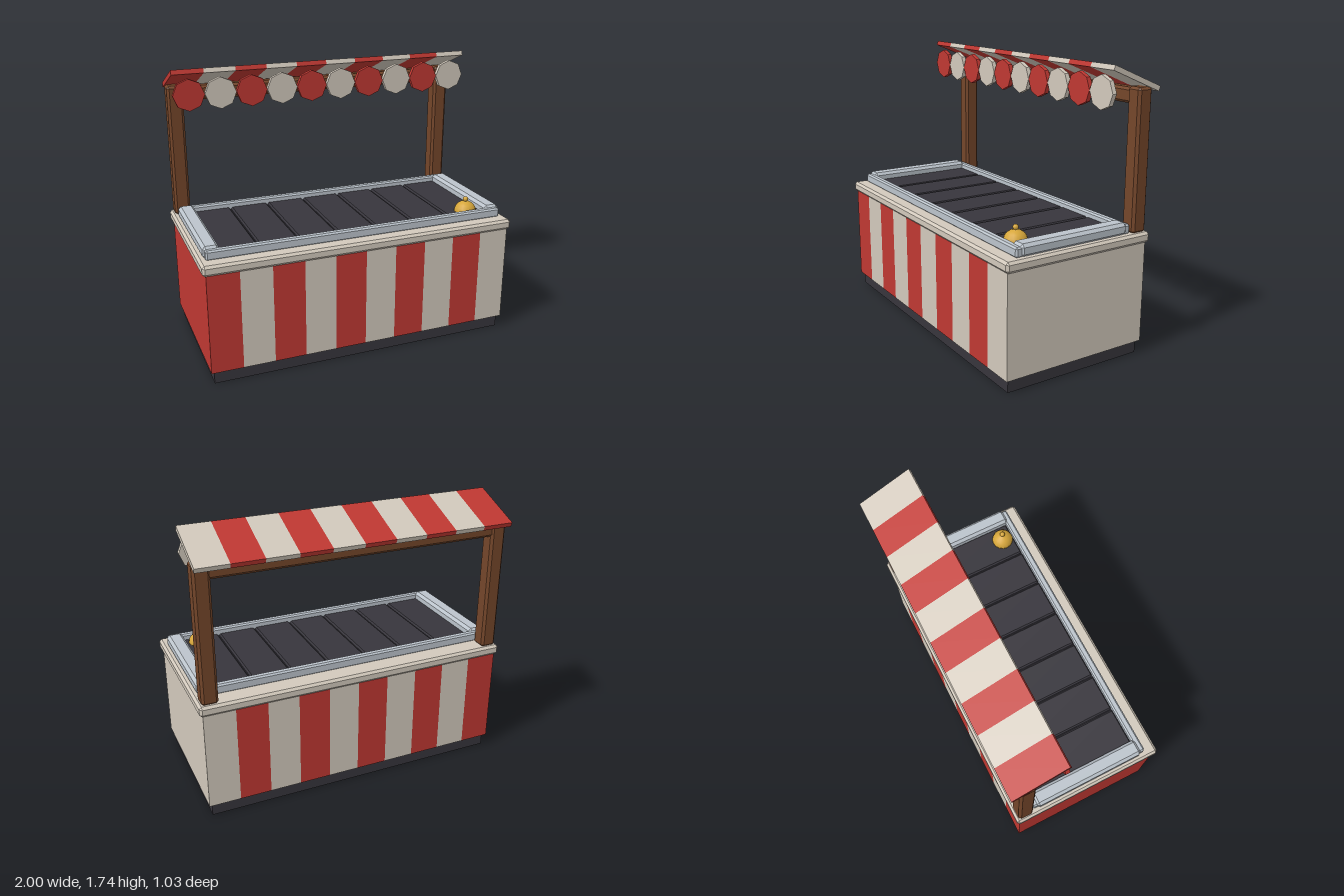
import * as THREE from 'three';
import { ConvexGeometry } from 'three/addons/geometries/ConvexGeometry.js';

const material = (name, color) => {
  const m = new THREE.MeshStandardMaterial({ color });
  m.name = name;
  return m;
};

// Box given by its min/max on each axis, with all edges chamfered by c
function chamferBox([x0, x1], [y0, y1], [z0, z1], c) {
  const half = [(x1 - x0) / 2, (y1 - y0) / 2, (z1 - z0) / 2];
  const points = [];
  for (const sx of [-1, 1]) for (const sy of [-1, 1]) for (const sz of [-1, 1]) {
    const s = [sx, sy, sz];
    for (let face = 0; face < 3; face++) {
      points.push(new THREE.Vector3(...half.map((h, i) => s[i] * (i === face ? h : h - c))));
    }
  }
  return new ConvexGeometry(points).translate((x0 + x1) / 2, (y0 + y1) / 2, (z0 + z1) / 2);
}

function plainBox([x0, x1], [y0, y1], [z0, z1]) {
  return new THREE.BoxGeometry(x1 - x0, y1 - y0, z1 - z0)
    .translate((x0 + x1) / 2, (y0 + y1) / 2, (z0 + z1) / 2);
}

export function createModel() {
  const group = new THREE.Group();
  group.name = 'marketStall';

  const red = material('red', 0xbf3832);
  const cream = material('cream', 0xd2c9bc);
  const dark = material('charcoal', 0x37353c);
  const wood = material('wood', 0x74462a);
  const steel = material('steel', 0xbcc4cc);
  const gold = material('gold', 0xd6a63a);

  const add = (name, geometry, mat, parent = group) => {
    const mesh = new THREE.Mesh(geometry, mat);
    mesh.name = name;
    parent.add(mesh);
    return mesh;
  };

  // Plinth and counter top
  add('plinth', plainBox([-0.96, 0.96], [0, 0.075], [-0.44, 0.48]), dark);
  add('counterTop', chamferBox([-1, 1], [0.705, 0.77], [-0.48, 0.515], 0.015), cream);

  // Striped body, sloping awning and round bunting share one stripe rhythm
  const stripes = 10, width = 0.196;
  const awning = new THREE.Group();
  awning.name = 'awning';
  awning.position.set(0, 1.6625, -0.343);
  awning.rotation.x = -0.385;
  group.add(awning);
  for (let i = 0; i < stripes; i++) {
    const mat = i % 2 ? cream : red;
    const x = (i - (stripes - 1) / 2) * width;
    const span = [x - width / 2, x + width / 2];
    add('bodyStripe', plainBox(span, [0.08, 0.72], [-0.46, 0.5]), mat);
    add('awningStripe', plainBox(span, [-0.015, 0.015], [-0.181, 0.181]), mat, awning);
    const disc = new THREE.CylinderGeometry(0.098, 0.098, 0.028, 8).toNonIndexed();
    disc.computeVertexNormals();
    add('buntingDisc', disc.rotateX(Math.PI / 2).translate(x, 1.588, -0.183), mat);
  }

  // Posts and cross beam
  for (const side of [-1, 1]) {
    const xs = [side * 0.93 - 0.05, side * 0.93 + 0.05];
    add('post', chamferBox(xs, [0.765, 1.61], [-0.462, -0.362], 0.015), wood);
  }
  add('crossBeam', chamferBox([-0.93, 0.93], [1.51, 1.6], [-0.452, -0.372], 0.015), wood);

  // Steel rim around the tray
  for (const side of [-1, 1]) {
    const xs = [side * 0.92 - 0.05, side * 0.92 + 0.05];
    add('sideRail', chamferBox(xs, [0.765, 0.84], [-0.33, 0.405], 0.018), steel);
  }
  add('frontRail', chamferBox([-0.96, 0.96], [0.765, 0.826], [0.385, 0.432], 0.01), steel);
  add('backRail', chamferBox([-0.96, 0.96], [0.765, 0.826], [-0.358, -0.311], 0.01), steel);

  // Dark slatted tray
  add('trayFloor', plainBox([-0.89, 0.89], [0.76, 0.778], [-0.32, 0.39]), dark);
  const slats = 7, pitch = 1.76 / slats;
  for (let i = 0; i < slats; i++) {
    const x = -0.88 + i * pitch;
    add('traySlat', chamferBox([x + 0.003, x + pitch - 0.003], [0.765, 0.792], [-0.318, 0.388], 0.01), dark);
  }

  // Service bell
  const bell = new THREE.Group();
  bell.name = 'bell';
  bell.position.set(0.776, 0.79, 0.312);
  group.add(bell);
  const profile = [[0, 0], [0.07, 0], [0.07, 0.012], [0.064, 0.032], [0.05, 0.051],
    [0.03, 0.064], [0.008, 0.07], [0.008, 0.08], [0, 0.08]];
  const dome = new THREE.LatheGeometry(profile.map(([x, y]) => new THREE.Vector2(x, y)), 16);
  add('bellDome', dome, gold, bell);
  add('bellKnob', new THREE.SphereGeometry(0.017, 12, 8).translate(0, 0.083, 0), gold, bell);

  return group;
}
